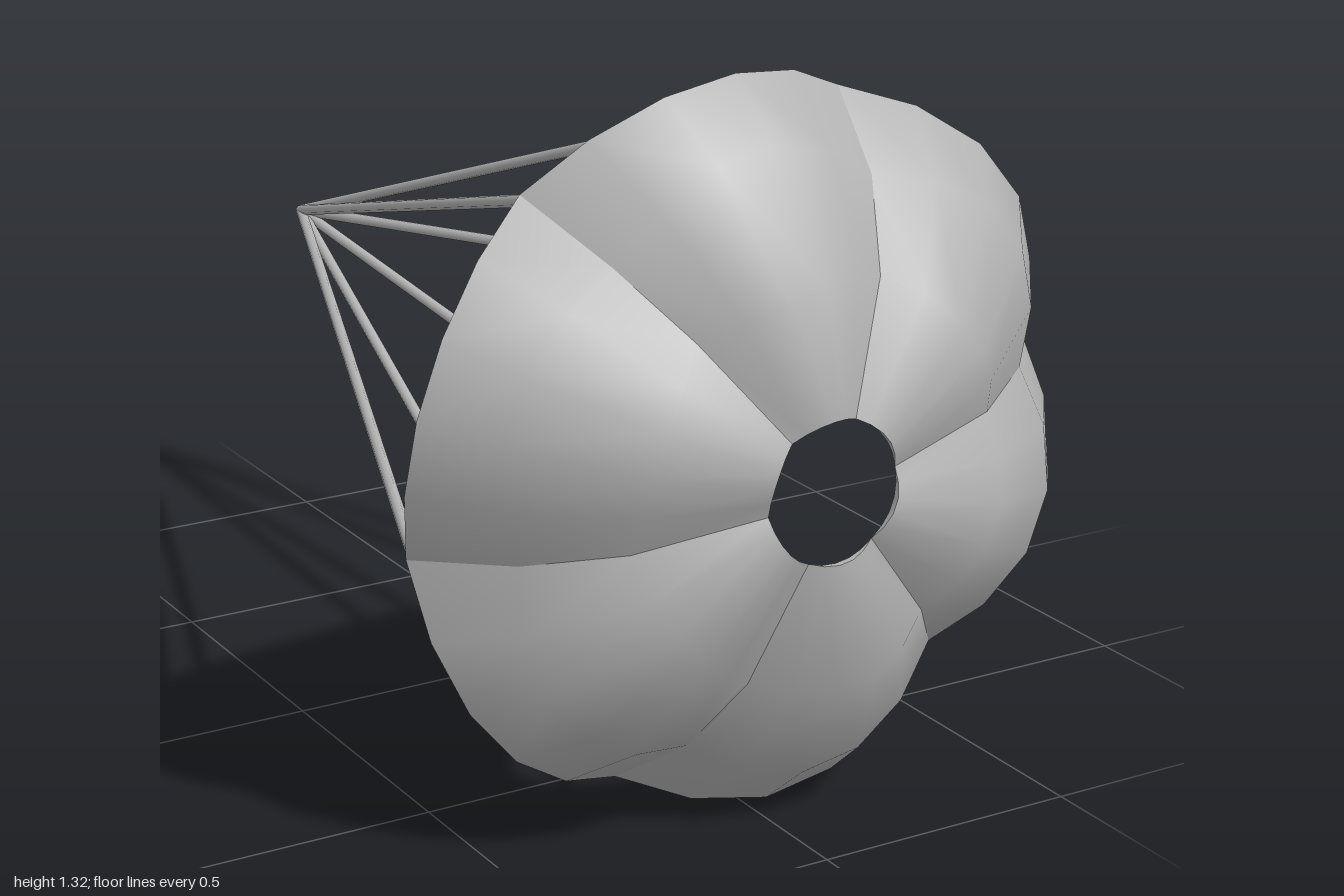
import * as THREE from 'three';
import { mergeVertices } from 'three/addons/utils/BufferGeometryUtils.js';

const CENTRE_Y = 0.661;
const GORES = 6;
const STEPS = 5; // facets across each gore
const START = THREE.MathUtils.degToRad(10);
const GORE_ANGLE = (Math.PI * 2) / GORES;

// [radius, z] from the vent to the rim: along a seam, along the middle of a
// gore's billowed outside, and along the middle of its flatter inside
const SEAM = [[0.127, 0.985], [0.36, 0.93], [0.51, 0.825], [0.632, 0.66]];
const OUTSIDE = [[0.127, 1.0], [0.355, 0.992], [0.565, 0.862], [0.663, 0.743]];
const INSIDE = [[0.127, 0.988], [0.352, 0.942], [0.495, 0.835], [0.588, 0.705]];

// Cloth surface over a number of gores; each row is [seam point, middle point]
function clothGeometry(rows, gores) {
  const positions = [];
  const index = [];
  const columns = gores * STEPS;
  for (const [seam, middle] of rows) {
    for (let j = 0; j <= columns; j++) {
      const t = (j % STEPS) / STEPS;
      const bulge = Math.min(1, Math.sin(Math.PI * t) / Math.sin(Math.PI * 0.4));
      const r = THREE.MathUtils.lerp(seam[0], middle[0], bulge);
      const z = THREE.MathUtils.lerp(seam[1], middle[1], bulge);
      const a = START + (j / STEPS) * GORE_ANGLE;
      positions.push(r * Math.cos(a), r * Math.sin(a), z);
    }
  }
  for (let i = 0; i < rows.length - 1; i++) {
    for (let j = 0; j < columns; j++) {
      const a = i * (columns + 1) + j;
      const b = a + columns + 1;
      index.push(a, b, b + 1, a, b + 1, a + 1);
    }
  }
  const geometry = new THREE.BufferGeometry();
  geometry.setAttribute('position', new THREE.Float32BufferAttribute(positions, 3));
  geometry.setIndex(index);
  const welded = mergeVertices(geometry, 1e-5);
  welded.computeVertexNormals();
  return welded;
}

// Thin rod between two points
function rod(from, to, radius, material) {
  const direction = to.clone().sub(from);
  const mesh = new THREE.Mesh(
    new THREE.CylinderGeometry(radius, radius, direction.length(), 8),
    material
  );
  mesh.position.copy(from).add(to).multiplyScalar(0.5);
  mesh.quaternion.setFromUnitVectors(new THREE.Vector3(0, 1, 0), direction.normalize());
  return mesh;
}

export function createModel() {
  const grey = new THREE.MeshStandardMaterial({ color: 0xb3b3b3, side: THREE.DoubleSide });
  grey.name = 'plain grey';

  const model = new THREE.Group();
  model.name = 'parachute';

  const canopy = new THREE.Group();
  canopy.name = 'canopy';
  const lines = new THREE.Group();
  lines.name = 'suspensionLines';
  model.add(canopy, lines);

  // Smooth lining, and hems joining it to the outer gores
  const rim = SEAM.length - 1;
  const cloth = {
    lining: SEAM.map((seam, i) => [seam, INSIDE[i]]),
    rimHem: [[SEAM[rim], OUTSIDE[rim]], [SEAM[rim], INSIDE[rim]]],
    ventHem: [[SEAM[0], INSIDE[0]], [SEAM[0], OUTSIDE[0]]],
  };
  for (const [name, rows] of Object.entries(cloth)) {
    const mesh = new THREE.Mesh(clothGeometry(rows, GORES), grey);
    mesh.name = name;
    canopy.add(mesh);
  }

  const panel = clothGeometry(SEAM.map((seam, i) => [seam, OUTSIDE[i]]), 1);
  const apex = new THREE.Vector3(0, 0, -0.997);
  for (let k = 0; k < GORES; k++) {
    const gore = new THREE.Mesh(panel, grey);
    gore.name = 'gore';
    gore.rotation.z = k * GORE_ANGLE;
    canopy.add(gore);

    // Line from the seam's end at the rim to the shared point behind
    const a = START + k * GORE_ANGLE;
    const end = new THREE.Vector3(0.618 * Math.cos(a), 0.618 * Math.sin(a), 0.662);
    const line = rod(end, apex, 0.011, grey);
    line.name = 'suspensionLine';
    lines.add(line);
  }

  model.children.forEach((part) => { part.position.y = CENTRE_Y; });
  return model;
}
